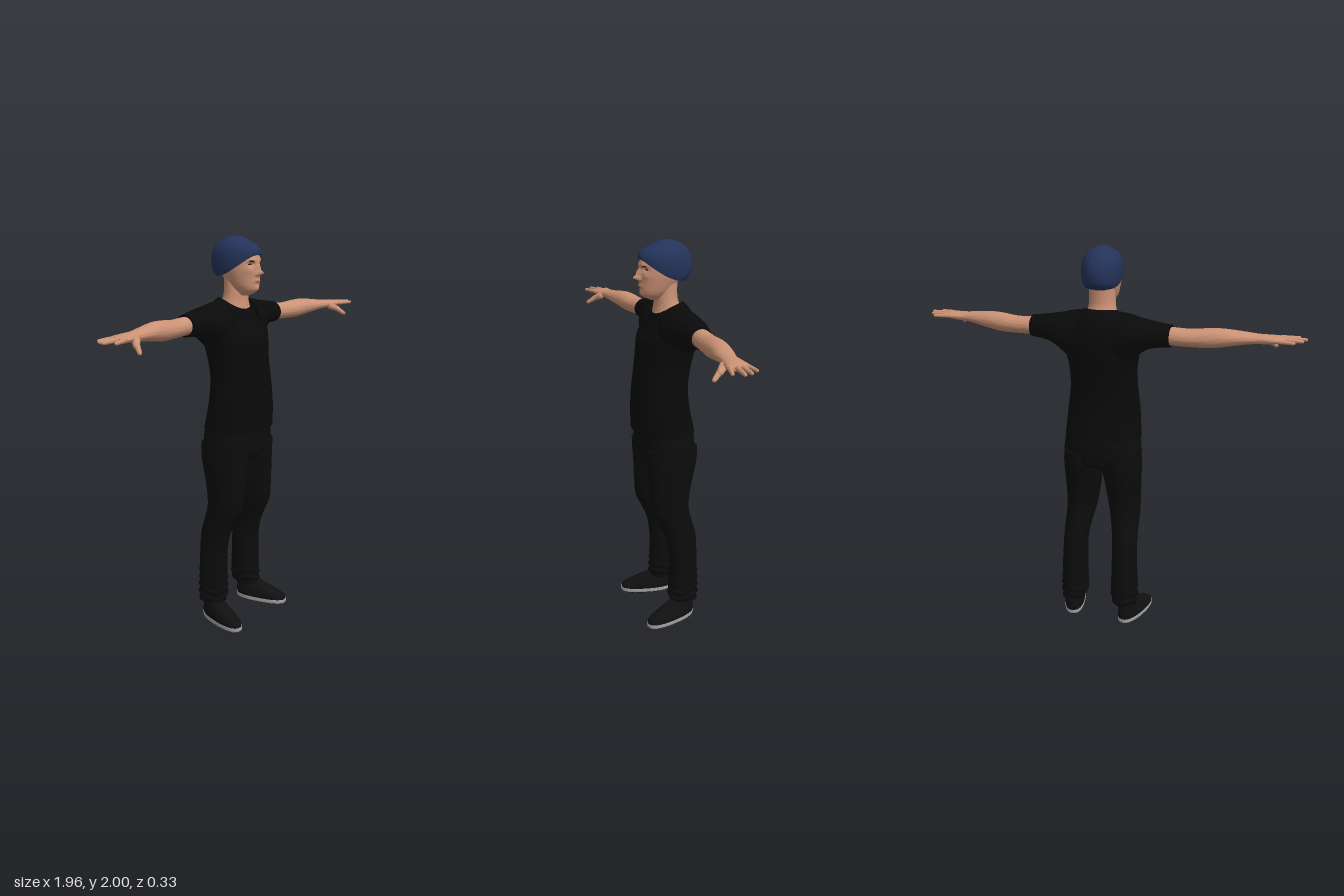
import * as THREE from 'three';
import { toCreasedNormals } from 'three/addons/utils/BufferGeometryUtils.js';

const mat = (name, color) => {
  const m = new THREE.MeshStandardMaterial({ color });
  m.name = name;
  return m;
};

// Catmull-Rom value of column k between stations i and i+1
function spline(st, i, k, f) {
  const at = (n) => st[Math.max(0, Math.min(st.length - 1, n))][k];
  const [a, b, c, d] = [at(i - 1), at(i), at(i + 1), at(i + 2)];
  return b + 0.5 * f * (c - a + f * (2 * a - 5 * b + 4 * c - d + f * (3 * (b - c) + d - a)));
}

// Smooth skin over oval sections. Along y a station is [y, x0, x1, z0, z1];
// along x it is [x, y0, y1, z0, z1]. "rule" may move each point.
function loft(st, { axis = 'y', power = 2, seg = 40, steps = 5, rule, flip = false, capTop = true } = {}) {
  const pos = [], idx = [], rows = (st.length - 1) * steps;
  const put = (t, a, b) => {
    const v = axis === 'y' ? new THREE.Vector3(a, t, b) : new THREE.Vector3(t, a, b);
    if (rule) rule(v);
    pos.push(flip ? -v.x : v.x, v.y, v.z);
  };
  const tri = (a, b, c) => (flip ? idx.push(a, c, b) : idx.push(a, b, c));
  const e = (v) => Math.sign(v) * Math.abs(v) ** (2 / power);
  for (let r = 0; r <= rows; r++) {
    const i = Math.min(Math.floor(r / steps), st.length - 2), f = r / steps - i;
    const [t, a0, a1, b0, b1] = [0, 1, 2, 3, 4].map((k) => spline(st, i, k, f));
    for (let j = 0; j < seg; j++) {
      const w = (j / seg) * Math.PI * 2;
      const s = e(Math.sin(w)), c = e(Math.cos(w));
      const [da, db] = axis === 'y' ? [s, c] : [c, s];
      put(t, (a0 + a1) / 2 + (da * (a1 - a0)) / 2, (b0 + b1) / 2 + (db * (b1 - b0)) / 2);
    }
  }
  for (let r = 0; r < rows; r++) for (let j = 0; j < seg; j++) {
    const p = r * seg + j, q = r * seg + ((j + 1) % seg);
    tri(p, q, q + seg);
    tri(p, q + seg, p + seg);
  }
  const ends = capTop ? [0, rows] : [0];
  for (const r of ends) {
    const s = st[r ? st.length - 1 : 0], n = pos.length / 3;
    put(s[0], (s[1] + s[2]) / 2, (s[3] + s[4]) / 2);
    for (let j = 0; j < seg; j++) {
      const p = r * seg + j, q = r * seg + ((j + 1) % seg);
      r ? tri(p, q, n) : tri(q, p, n);
    }
  }
  const g = new THREE.BufferGeometry();
  g.setAttribute('position', new THREE.Float32BufferAttribute(pos, 3));
  g.setIndex(idx);
  return toCreasedNormals(g, Math.PI / 3);
}

// Symmetric station: height, half width, back, front
const sym = (list) => list.map(([y, h, zb, zf]) => [y, -h, h, zb, zf]);

export function createModel() {
  const root = new THREE.Group();
  root.name = 'figure';
  const skin = mat('skin', 0xcb9275), lip = mat('lips', 0xa56a57), dark = mat('eyes and brows', 0x2a1a14);
  const knit = mat('navy knit', 0x24335a), shirt = mat('black shirt', 0x0a0a0a);
  const cloth = mat('black trousers', 0x0c0c0c), shoe = mat('black shoe', 0x101010), rubber = mat('pale rubber', 0xa5a5a5);
  const add = (name, geo, m, parent = root) => {
    const mesh = new THREE.Mesh(geo, m);
    mesh.name = name;
    parent.add(mesh);
    return mesh;
  };
  const blob = (name, m, p, s, ry = 0) => {
    const b = add(name, new THREE.SphereGeometry(1, 16, 10), m);
    b.position.set(...p);
    b.scale.set(...s);
    b.rotation.y = ry;
  };

  // Head, with the features raised or sunk by soft bumps: x, y, depth, width, height
  const bumps = [
    [0, 1.826, 0.032, 0.011, 0.012], [0, 1.85, 0.016, 0.009, 0.018], [0, 1.787, 0.006, 0.02, 0.01],
    [0, 1.748, 0.006, 0.02, 0.012], [0, 1.773, -0.004, 0.02, 0.005],
  ];
  for (const s of [-1, 1]) bumps.push(
    [s * 0.013, 1.82, 0.009, 0.007, 0.007], [s * 0.034, 1.866, -0.014, 0.016, 0.01],
    [s * 0.032, 1.886, 0.006, 0.02, 0.008], [s * 0.045, 1.835, 0.004, 0.015, 0.015]);
  add('head', loft(sym([
    [1.715, 0.025, 0, 0.06], [1.735, 0.045, -0.02, 0.098], [1.76, 0.061, -0.05, 0.11], [1.8, 0.074, -0.085, 0.112],
    [1.84, 0.083, -0.11, 0.113], [1.88, 0.086, -0.135, 0.113], [1.92, 0.08, -0.125, 0.1], [1.96, 0.05, -0.08, 0.05],
  ]), {
    seg: 96, steps: 10,
    rule: (v) => {
      if (v.z > 0.03) for (const [x, y, a, sx, sy] of bumps)
        v.z += a * Math.exp(-(((v.x - x) / sx) ** 2) - ((v.y - y) / sy) ** 2);
    },
  }), skin);
  blob('mouth', lip, [0, 1.786, 0.112], [0.021, 0.005, 0.007]);
  for (const s of [-1, 1]) {
    blob('eye', dark, [s * 0.034, 1.867, 0.089], [0.013, 0.0045, 0.005], s * 0.35);
    blob('eyebrow', dark, [s * 0.035, 1.883, 0.104], [0.019, 0.0035, 0.005], s * 0.35);
  }
  add('neck', loft(sym([
    [1.58, 0.1, -0.11, 0.055], [1.64, 0.088, -0.1, 0.044], [1.69, 0.073, -0.088, 0.036],
    [1.73, 0.066, -0.078, 0.036], [1.82, 0.064, -0.078, 0.03],
  ])), skin);

  // Knitted cap, its rim rising from the nape to the forehead
  add('cap', loft(sym([
    [1.8, 0.088, -0.125, 0.117], [1.83, 0.094, -0.15, 0.117], [1.88, 0.096, -0.157, 0.108], [1.93, 0.088, -0.145, 0.087],
    [1.97, 0.064, -0.113, 0.048], [1.992, 0.034, -0.07, 0.012], [2, 0.002, -0.026, -0.02],
  ]), {
    seg: 56,
    rule: (v) => {
      const rim = 1.805 + 0.11 * Math.max(0, (v.z + 0.1) / 0.215) ** 1.8;
      v.y = rim + ((v.y - 1.8) / 0.2) * (2 - rim);
    },
  }), knit);

  // Shirt body with a neckline scooped at the front
  add('shirtBody', loft(sym([
    [1.045, 0.197, -0.156, 0.147], [1.12, 0.19, -0.14, 0.15], [1.2, 0.184, -0.125, 0.148], [1.3, 0.172, -0.122, 0.14],
    [1.4, 0.172, -0.138, 0.127], [1.48, 0.186, -0.155, 0.117], [1.54, 0.195, -0.161, 0.106], [1.6, 0.185, -0.158, 0.088],
    [1.65, 0.14, -0.145, 0.068], [1.68, 0.11, -0.125, 0.053], [1.705, 0.083, -0.1, 0.042],
  ]), {
    seg: 56, power: 2.25, capTop: false,
    rule: (v) => {
      v.y -= 3.2 * Math.max(0, v.z + 0.09) ** 2 * THREE.MathUtils.smoothstep(v.y, 1.5, 1.7);
    },
  }), shirt);

  // Trouser seat
  add('trouserSeat', loft(sym([
    [0.87, 0.1, -0.07, 0.05], [0.9, 0.18, -0.135, 0.11], [0.94, 0.202, -0.15, 0.125],
    [1, 0.2, -0.154, 0.13], [1.07, 0.188, -0.145, 0.135],
  ]), { power: 2.25 }), cloth);

  for (const s of [1, -1]) {
    const side = s > 0 ? 'left' : 'right', flip = s < 0;

    add(side + 'Sleeve', loft([
      [0.09, 1.45, 1.692, -0.155, 0.06], [0.15, 1.455, 1.684, -0.156, 0.06], [0.2, 1.495, 1.672, -0.15, 0.042],
      [0.25, 1.525, 1.664, -0.137, 0.022], [0.3, 1.536, 1.656, -0.122, 0.01], [0.355, 1.54, 1.648, -0.108, 0.006],
    ], { axis: 'x', flip }), shirt);

    // Arm and palm in one piece
    add(side + 'Arm', loft([
      [0.3, 1.55, 1.64, -0.1, -0.004], [0.37, 1.55, 1.637, -0.098, -0.002], [0.45, 1.548, 1.634, -0.092, 0.006],
      [0.53, 1.547, 1.641, -0.084, 0.019], [0.6, 1.555, 1.642, -0.073, 0.027], [0.68, 1.568, 1.633, -0.054, 0.04],
      [0.75, 1.576, 1.624, -0.034, 0.046], [0.8, 1.578, 1.621, -0.034, 0.058], [0.85, 1.584, 1.618, -0.034, 0.072],
      [0.88, 1.59, 1.612, -0.025, 0.066],
    ], { axis: 'x', flip }), skin);

    // Fingers: start, tip, thickness
    const fingers = [
      ['littleFinger', [0.85, 1.6, -0.022], [0.932, 1.598, -0.03], 0.009],
      ['ringFinger', [0.86, 1.602, 0.006], [0.966, 1.6, 0.012], 0.01],
      ['middleFinger', [0.86, 1.603, 0.032], [0.98, 1.602, 0.05], 0.01],
      ['indexFinger', [0.85, 1.602, 0.058], [0.946, 1.6, 0.09], 0.01],
      ['thumbBase', [0.775, 1.595, 0.04], [0.825, 1.567, 0.09], 0.017],
      ['thumb', [0.805, 1.578, 0.072], [0.834, 1.543, 0.12], 0.012],
    ];
    for (const [name, a, b, r] of fingers) {
      const p = new THREE.Vector3(s * a[0], a[1], a[2]), q = new THREE.Vector3(s * b[0], b[1], b[2]);
      const d = q.clone().sub(p), len = d.length();
      const g = new THREE.CapsuleGeometry(r, len - 2 * r, 6, 12, 4);
      const v = g.attributes.position;
      for (let i = 0; i < v.count; i++) {
        const k = 1 - (0.45 * v.getY(i)) / len;
        v.setXYZ(i, v.getX(i) * k, v.getY(i), v.getZ(i) * k);
      }
      g.computeVertexNormals();
      const f = add(side + name[0].toUpperCase() + name.slice(1), g, skin);
      f.position.copy(p.add(q).multiplyScalar(0.5));
      f.quaternion.setFromUnitVectors(new THREE.Vector3(0, 1, 0), d.normalize());
    }

    // Trouser leg, gathered in folds near the ankle
    add(side + 'TrouserLeg', loft([
      [0.105, 0.09, 0.208, -0.138, 0.008], [0.14, 0.074, 0.212, -0.145, 0.014], [0.2, 0.07, 0.211, -0.145, 0.012],
      [0.3, 0.071, 0.208, -0.143, 0.01], [0.4, 0.072, 0.203, -0.14, 0.014], [0.48, 0.07, 0.2, -0.136, 0.03],
      [0.55, 0.059, 0.199, -0.118, 0.06], [0.63, 0.041, 0.199, -0.1, 0.097], [0.72, 0.026, 0.2, -0.106, 0.107],
      [0.82, 0.011, 0.203, -0.128, 0.112], [0.9, 0, 0.204, -0.147, 0.118], [0.97, 0.0, 0.2, -0.15, 0.122],
    ], {
      flip, steps: 6,
      rule: (v) => {
        const k = 0.005 * (1 - THREE.MathUtils.smoothstep(v.y, 0.12, 0.36));
        const w = Math.atan2(v.x - 0.14, v.z + 0.065);
        const fold = 1 + (k / 0.07) * Math.sin(v.y * 150 + 2 * Math.sin(w * 2));
        v.x = 0.14 + (v.x - 0.14) * fold;
        v.z = -0.065 + (v.z + 0.065) * fold;
      },
    }), cloth);

    const ankle = add(side + 'Ankle', new THREE.CylinderGeometry(0.038, 0.036, 0.07, 24), skin);
    ankle.position.set(s * 0.152, 0.115, -0.065);

    // Shoe, toes turned out
    const foot = new THREE.Group();
    foot.name = side + 'Shoe';
    foot.position.set(s * 0.175, 0, 0.018);
    foot.rotation.y = s * 0.25;
    root.add(foot);
    add('upper', loft(sym([
      [0.02, 0.053, -0.14, 0.146], [0.04, 0.053, -0.142, 0.142], [0.058, 0.05, -0.142, 0.115], [0.075, 0.046, -0.14, 0.075],
      [0.092, 0.042, -0.138, 0.03], [0.108, 0.038, -0.137, -0.01],
    ]), { power: 2.4 }), shoe, foot);
    add('soleRim', loft(sym([
      [0.004, 0.052, -0.139, 0.145], [0.012, 0.055, -0.143, 0.149], [0.026, 0.055, -0.143, 0.149],
    ]), { power: 2.4, steps: 2 }), rubber, foot);
    add('outsole', loft(sym([
      [0, 0.048, -0.134, 0.14], [0.005, 0.05, -0.137, 0.143],
    ]), { power: 2.4, steps: 1 }), shoe, foot);
  }
  return root;
}
